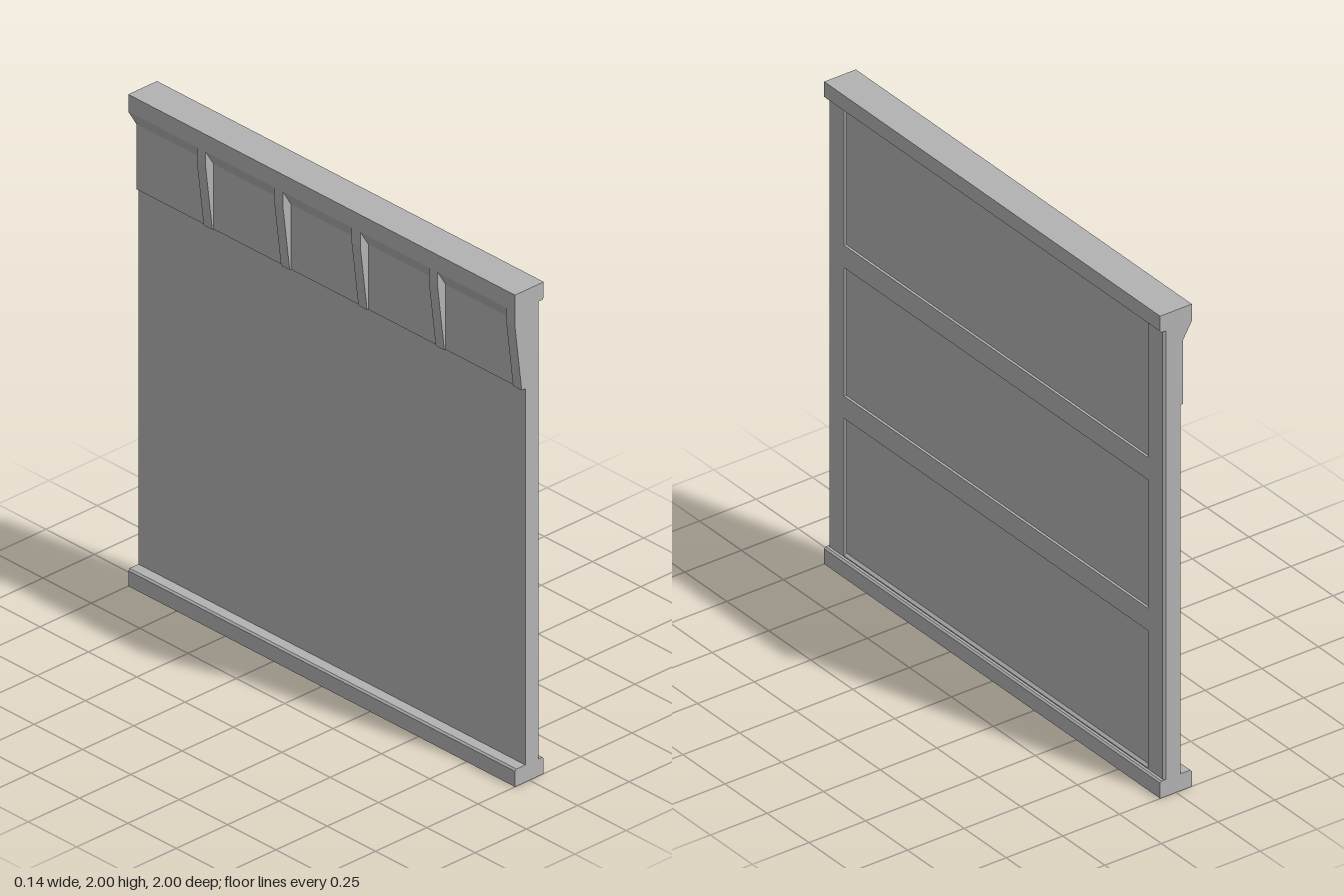
import * as THREE from 'three';

const grey = new THREE.MeshStandardMaterial({ color: 0xb2b2b2 });
grey.name = 'concrete grey';

// Extrudes a list of [x, y] corners along z, from z0 to z1
function extrude(points, z0, z1) {
  const shape = new THREE.Shape(points.map(([x, y]) => new THREE.Vector2(x, y)));
  const geometry = new THREE.ExtrudeGeometry(shape, { depth: z1 - z0, bevelEnabled: false });
  return geometry.translate(0, 0, z0);
}

export function createModel() {
  const group = new THREE.Group();
  const add = (name, geometry) => {
    const mesh = new THREE.Mesh(geometry, grey);
    mesh.name = name;
    group.add(mesh);
    return mesh;
  };
  const box = (name, x0, x1, y0, y1, z0, z1) =>
    add(name, new THREE.BoxGeometry(x1 - x0, y1 - y0, z1 - z0)
      .translate((x0 + x1) / 2, (y0 + y1) / 2, (z0 + z1) / 2));

  const panelX = 0.043, frameX = 0.053;
  const bottom = 0.07, top = 1.93;

  // Wall core and its recessed panels
  box('wallPanel', -0.02, panelX, bottom, top, -1, 1);

  // Skirting with softened upper edges
  add('base', extrude([
    [-0.07, 0], [0.07, 0], [0.07, 0.063], [0.063, bottom], [-0.063, bottom], [-0.07, 0.063],
  ], -1, 1));

  // Cap, sloped cornice and upper back plate in one profile
  add('capAndCornice', extrude([
    [-0.07, 2], [-0.07, 1.93], [-0.031, 1.865], [-0.031, 1.6], [-0.015, 1.6],
    [-0.015, top], [0.063, top], [0.07, 1.937], [0.07, 2],
  ], -1, 1));

  // Upright frame members, chamfered on the outer edge
  for (const side of [-1, 1]) {
    const corners = [[panelX - 0.01, 0.905], [frameX, 0.905], [frameX, 0.992],
      [panelX + 0.002, 1], [panelX - 0.01, 1]].map(([x, z]) => [x, -z * side]);
    add('frameUpright', extrude(corners, bottom, top).rotateX(-Math.PI / 2));
  }

  // Horizontal rails between the panels
  for (const y of [0.69, 1.315]) {
    box('frameRail', panelX - 0.01, frameX, y - 0.046, y + 0.046, -0.905, 0.905);
  }

  // Sloped sill under the lowest panel
  add('sill', extrude([
    [panelX - 0.005, bottom], [frameX, bottom], [frameX, 0.074], [panelX - 0.005, 0.088],
  ], -0.905, 0.905));

  // Tapered brackets under the cornice
  for (let i = 0; i < 5; i++) {
    const z = -0.6 + i * 0.4;
    add('bracket', extrude([
      [-0.07, 1.94], [-0.07, 1.87], [-0.037, 1.6], [-0.025, 1.6], [-0.025, 1.94],
    ], z - 0.045, z));
  }

  return group;
}
